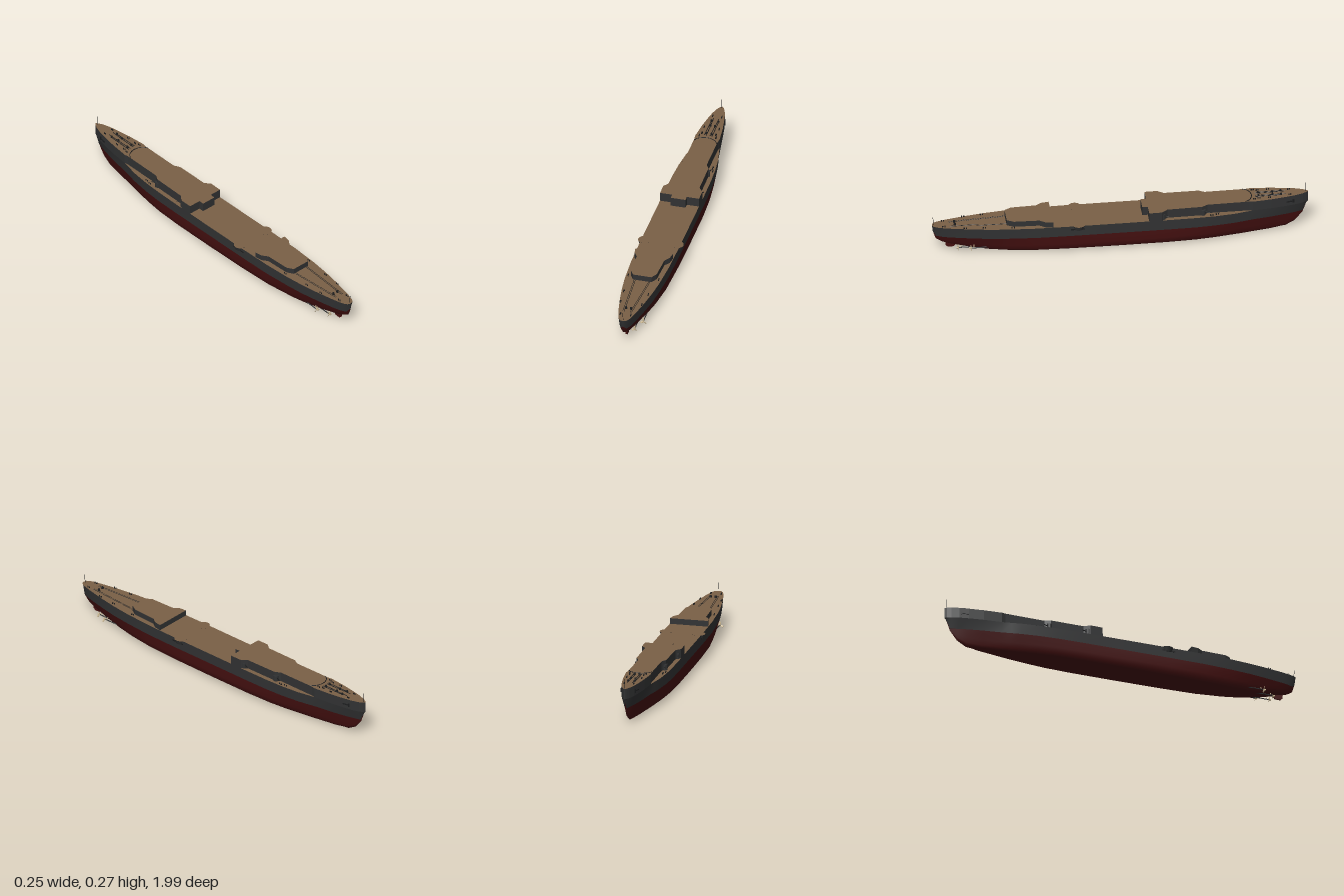
import * as THREE from 'three';

const mat = (name, color, side = THREE.FrontSide) => {
  const m = new THREE.MeshStandardMaterial({ color, side });
  m.name = name;
  return m;
};

export function createModel() {
  const ship = new THREE.Group();
  ship.name = 'warshipHull';
  const grey = mat('hullGrey', 0x313233, THREE.DoubleSide);
  const red = mat('antifoulingRed', 0x451010, THREE.DoubleSide);
  const wood = mat('deckWood', 0x7a6046);
  const bronze = mat('propellerBronze', 0xcbb893);
  const dark = mat('fittingDark', 0x1c1d1e);
  const DECK = 0.158, WATER = 0.1;

  const add = (name, geo, material, x = 0, y = 0, z = 0, parent = ship) => {
    const m = new THREE.Mesh(geo, material);
    m.name = name;
    m.position.set(x, y, z);
    parent.add(m);
    return m;
  };
  const rod = (name, a, b, r, material, parent = ship) => {
    const p = new THREE.Vector3(...a), q = new THREE.Vector3(...b), d = q.clone().sub(p);
    const m = add(name, new THREE.CylinderGeometry(r, r, d.length(), 8), material, 0, 0, 0, parent);
    m.position.copy(p).add(q).multiplyScalar(0.5);
    m.quaternion.setFromUnitVectors(new THREE.Vector3(0, 1, 0), d.normalize());
    return m;
  };

  // Hull stations, stern to bow: z, deck half, waterline half, bilge half, keel height
  const stations = [
    [0.99, 0, 0, 0, 0.158], [0.985, 0.016, 0, 0, 0.12], [0.97, 0.027, 0.016, 0.004, 0.075],
    [0.94, 0.037, 0.03, 0.012, 0.057], [0.9, 0.047, 0.042, 0.02, 0.045], [0.8, 0.067, 0.063, 0.036, 0.024],
    [0.7, 0.083, 0.081, 0.052, 0.008], [0.6, 0.094, 0.092, 0.072, 0.003], [0.45, 0.103, 0.103, 0.092, 0],
    [0.25, 0.106, 0.106, 0.101, 0], [0, 0.106, 0.106, 0.104, 0], [-0.25, 0.106, 0.106, 0.103, 0],
    [-0.4, 0.104, 0.104, 0.095, 0], [-0.5, 0.099, 0.097, 0.081, 0], [-0.6, 0.088, 0.084, 0.062, 0],
    [-0.65, 0.077, 0.074, 0.052, 0], [-0.7, 0.067, 0.063, 0.042, 0.001], [-0.8, 0.057, 0.047, 0.023, 0.003],
    [-0.88, 0.044, 0.03, 0.01, 0.012], [-0.93, 0.034, 0.017, 0.005, 0.04],
    [-0.97, 0.021, 0.004, 0, 0.09], [-0.99, 0.01, 0, 0, 0.145], [-1, 0, 0, 0, 0.158],
  ];
  const loft = (sections) => {
    const n = sections[0].length, idx = [];
    for (let i = 0; i < sections.length - 1; i++)
      for (let j = 0; j < n - 1; j++) {
        const a = i * n + j, b = a + n;
        idx.push(a, a + 1, b, b, a + 1, b + 1);
      }
    const g = new THREE.BufferGeometry();
    g.setAttribute('position', new THREE.Float32BufferAttribute(sections.flat(2), 3));
    g.setIndex(idx);
    g.computeVertexNormals();
    return g;
  };
  // Red bottom with a rounded bilge
  const bilge = [[0, 0], [0.82, 0.09], [0.95, 0.22], [1, 0.5], [1, 1]];
  add('lowerHull', loft(stations.map(([z, , w, b, k]) => {
    const top = Math.max(k, WATER);
    const half = bilge.map(([s, f]) => [s * (b + (w - b) * f), k + (top - k) * f, z]);
    return [...half.slice().reverse(), ...half.slice(1).map(([x, y]) => [-x, y, z])];
  })), red);
  // Grey topsides and the main deck
  for (const s of [1, -1])
    add(s > 0 ? 'leftTopside' : 'rightTopside', loft(stations.map(([z, d, w, , k]) => {
      const pts = [[s * d, DECK, z], [s * w, Math.max(k, WATER), z]];
      return s > 0 ? pts : pts.reverse();
    })), grey);
  add('mainDeck', loft(stations.map(([z, d]) => [[-d, DECK, z], [d, DECK, z]])), wood);

  // Raised deck blocks from mirrored half outlines
  const deckhouse = (name, half, y0, y1) => {
    const pts = [...half, ...half.slice().reverse().map(([x, z]) => [-x, z])];
    const g = new THREE.ExtrudeGeometry(new THREE.Shape(pts.map(([x, z]) => new THREE.Vector2(x, z))),
      { depth: y1 - y0, bevelEnabled: false });
    g.rotateX(Math.PI / 2).translate(0, y1, 0);
    return add(name, g, [wood, grey]);
  };
  const sheer = (z) => 0.207 + 0.008 * Math.max(0, -z - 0.1) / 0.9;
  const bow = stations.filter(([z]) => z <= -0.7 && z > -1).map(([z, d]) => [d, z]);
  const fore = deckhouse('forecastle', [[0.04, -0.118], [0.04, -0.147], [0.106, -0.147], [0.106, -0.215],
    [0.082, -0.245], [0.08, -0.43], [0.063, -0.46], [0.063, -0.68], ...bow, [0.001, -1]], DECK, 0.207);
  const p = fore.geometry.attributes.position;
  for (let i = 0; i < p.count; i++) if (p.getY(i) > 0.2) p.setY(i, sheer(p.getZ(i)));
  fore.geometry.computeVertexNormals();
  deckhouse('afterDeckhouse', [[0.102, 0.36], [0.096, 0.4], [0.075, 0.43], [0.07, 0.565], [0.05, 0.6]], DECK, 0.189);

  // Forecastle deck fittings
  rod('jackstaff', [0, 0.21, -0.987], [0, 0.266, -0.987], 0.0012, dark);
  const arc = new THREE.CatmullRomCurve3([[-0.062, -0.66], [-0.045, -0.685], [0, -0.7], [0.045, -0.685], [0.062, -0.66]]
    .map(([x, z]) => new THREE.Vector3(x, sheer(z) + 0.001, z)));
  add('breakwater', new THREE.TubeGeometry(arc, 24, 0.002, 6), dark);

  for (const s of [1, -1]) {
    const side = new THREE.Group();
    side.name = s > 0 ? 'leftFittings' : 'rightFittings';
    ship.add(side);

    // Anchor chains, capstans and bollards
    rod('anchorChain', [s * 0.01, sheer(-0.72) + 0.001, -0.72], [s * 0.014, sheer(-0.88) + 0.001, -0.88], 0.002, dark, side);
    rod('outerChain', [s * 0.021, sheer(-0.72) + 0.001, -0.72], [s * 0.02, sheer(-0.86) + 0.001, -0.86], 0.002, dark, side);
    for (const [x, z] of [[0.014, -0.735], [0.012, -0.81], [0.018, -0.855]])
      add('capstan', new THREE.CylinderGeometry(0.005, 0.006, 0.01, 12), dark, s * x, sheer(z) + 0.004, z, side);
    for (const [x, z] of [[0.045, -0.71], [0.038, -0.735], [0.04, -0.79], [0.025, -0.9]])
      for (const dz of [-0.005, 0.005])
        add('bollard', new THREE.CylinderGeometry(0.003, 0.003, 0.008, 8), dark, s * x, sheer(z) + 0.003, z + dz, side);
    for (const [x, z] of [[0.083, 0.57], [0.066, 0.72], [0.058, 0.82], [0.028, 0.93], [0.083, -0.51], [0.09, -0.48]])
      for (const dz of [-0.006, 0.006])
        add('deckBollard', new THREE.CylinderGeometry(0.003, 0.003, 0.008, 8), dark, s * x, DECK + 0.003, z + dz, side);

    // Bow anchor lying on the flare
    const anchor = new THREE.Group();
    anchor.name = 'anchor';
    anchor.position.set(s * 0.042, 0.183, -0.9);
    anchor.rotation.y = s * 0.22;
    side.add(anchor);
    add('anchorShank', new THREE.BoxGeometry(0.006, 0.005, 0.04), dark, 0, 0, 0, anchor);
    add('anchorFlukes', new THREE.BoxGeometry(0.006, 0.02, 0.008), dark, 0, 0, -0.018, anchor);

    // Casemate guns beside the forecastle
    for (const [x, z] of [[0.088, -0.222], [0.074, -0.435]]) {
      add('casemate', new THREE.CylinderGeometry(0.014, 0.014, 0.03, 16), grey, s * x, 0.174, z, side);
      rod('casemateGun', [s * x, 0.176, z], [s * (x + 0.012), 0.177, z - 0.035], 0.0025, dark, side);
    }

    // Sponson amidships and a side strake
    add('sponson', new THREE.CylinderGeometry(0.034, 0.026, 0.024, 28), [grey, wood, grey], s * 0.089, 0.1465, 0.225, side);
    add('sidePorts', new THREE.BoxGeometry(0.004, 0.007, 0.075), dark, s * 0.1055, 0.139, 0.23, side);

    // Mine rails along the quarterdeck
    rod('deckRailOuter', [s * 0.043, DECK, 0.6], [s * 0.024, DECK, 0.9], 0.0012, dark, side);
    rod('deckRailInner', [s * 0.036, DECK, 0.6], [s * 0.016, DECK, 0.9], 0.0012, dark, side);
    add('sternWinch', new THREE.CylinderGeometry(0.006, 0.007, 0.01, 12), dark, s * 0.014, DECK + 0.005, 0.87, side);

    // Shafts, brackets and three-bladed propellers
    for (const [x, y, z, r] of [[0.058, 0.035, 0.79, 0.019], [0.028, 0.025, 0.855, 0.017]]) {
      rod('propellerShaft', [s * x * 0.9, y, z - 0.2], [s * x, y, z], 0.0028, grey, side);
      rod('shaftBracket', [s * x, y, z - 0.015], [s * x * 0.6, 0.075, z - 0.02], 0.002, bronze, side);
      const prop = new THREE.Group();
      prop.name = 'propeller';
      prop.position.set(s * x, y, z);
      side.add(prop);
      rod('hub', [0, 0, -0.006], [0, 0, 0.008], 0.004, bronze, prop);
      for (let i = 0; i < 3; i++) {
        const arm = new THREE.Group();
        arm.name = 'bladeArm';
        arm.rotation.z = i * Math.PI * 2 / 3;
        prop.add(arm);
        const blade = add('blade', new THREE.SphereGeometry(1, 12, 8), bronze, 0, r * 0.57, 0, arm);
        blade.scale.set(0.0055, r * 0.45, 0.0012);
        blade.rotation.y = s * 0.45;
      }
    }
  }

  // Rudder and stern flagstaff
  const rudder = new THREE.Shape([[0.87, 0.055], [0.866, 0.03], [0.875, 0.02], [0.905, 0.019], [0.917, 0.03], [0.917, 0.05], [0.905, 0.058]]
    .map(([z, y]) => new THREE.Vector2(-z, y)));
  const rg = new THREE.ExtrudeGeometry(rudder, { depth: 0.008, bevelEnabled: false });
  rg.translate(0, 0, -0.004).rotateY(Math.PI / 2);
  add('rudder', rg, red);
  rod('rudderStock', [0, 0.04, 0.89], [0, 0.08, 0.89], 0.004, red);
  rod('ensignStaff', [0, DECK, 0.98], [0, 0.205, 0.985], 0.0012, dark);
  return ship;
}
